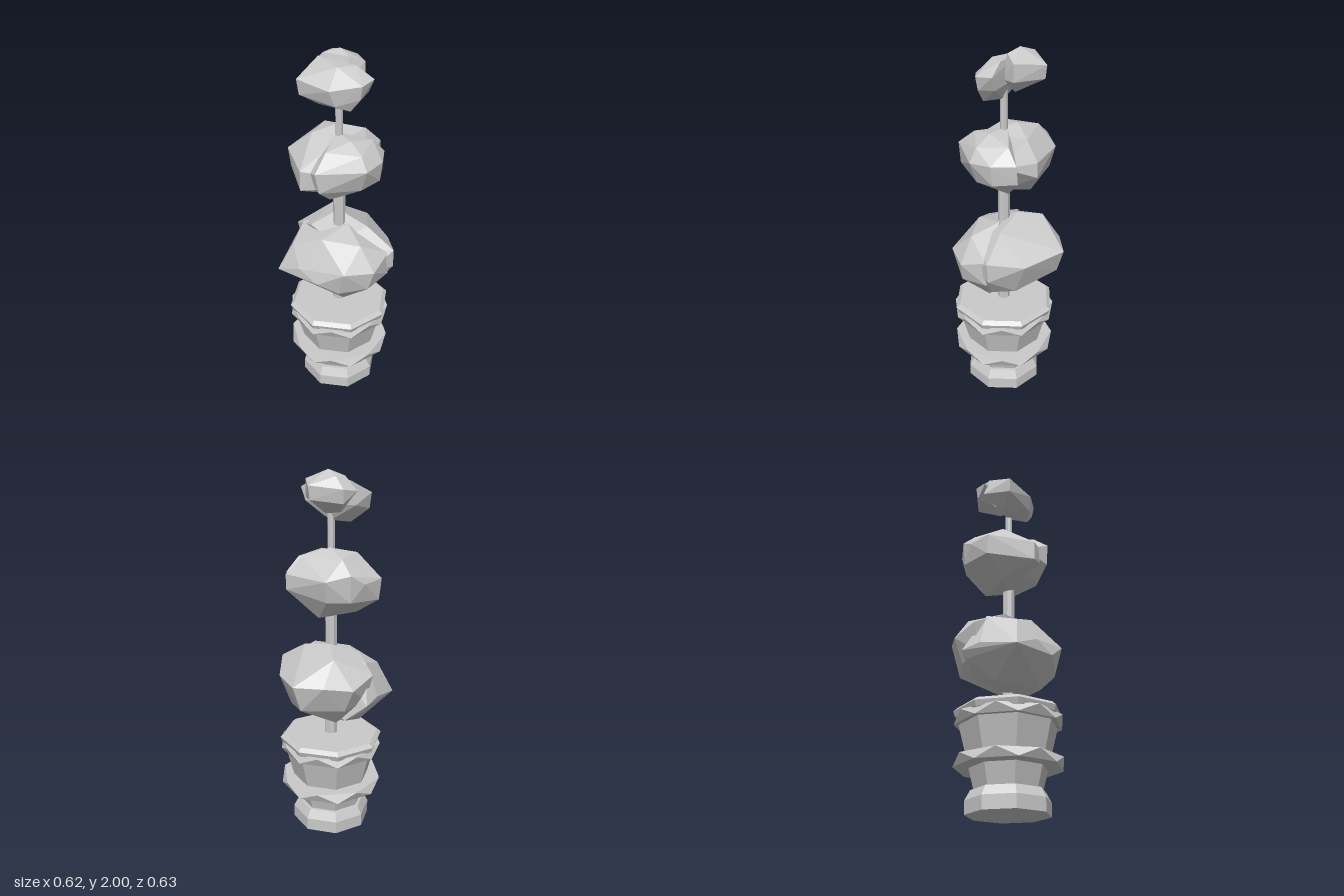
import * as THREE from 'three';
import { ConvexGeometry } from 'three/addons/geometries/ConvexGeometry.js';

export function createModel() {
  const group = new THREE.Group();
  group.name = 'topiaryTree';
  const grey = new THREE.MeshStandardMaterial({ color: 0xcacaca, flatShading: true });
  grey.name = 'plainGrey';

  const add = (name, geometry) => {
    const mesh = new THREE.Mesh(geometry, grey);
    mesh.name = name;
    group.add(mesh);
  };
  const hull = (points) => new ConvexGeometry(points.map((p) => new THREE.Vector3(...p)));

  // Eight-sided frustum with a flat side to the front; sizes are to the flats
  const octagon = (name, y0, y1, a0, a1) => {
    const k = 1 / Math.cos(Math.PI / 8);
    const g = new THREE.CylinderGeometry(a1 * k, a0 * k, y1 - y0, 8);
    g.rotateY(Math.PI / 8);
    g.translate(0, (y0 + y1) / 2, 0);
    add(name, g);
  };
  // Jagged collar: two octagons turned against each other
  const collar = (name, y0, y1, r) => {
    const points = [];
    for (let i = 0; i < 16; i++) {
      const a = (i * Math.PI) / 8;
      points.push([r * Math.cos(a), i % 2 ? y0 : y1, r * Math.sin(a)]);
    }
    add(name, hull(points));
  };

  // Pot
  octagon('potFoot', 0, 0.07, 0.203, 0.203);
  octagon('potFootBevel', 0.07, 0.12, 0.203, 0.178);
  octagon('potWall', 0.11, 0.47, 0.16, 0.245);
  collar('potMiddleCollar', 0.23, 0.28, 0.285);
  collar('potUpperCollar', 0.45, 0.5, 0.285);
  octagon('potRim', 0.49, 0.52, 0.258, 0.268);
  octagon('potRimTop', 0.52, 0.54, 0.268, 0.248);

  // Trunk sections
  for (const [name, y0, y1, r] of [
    ['lowerTrunk', 0.5, 0.75, 0.034],
    ['middleTrunk', 0.95, 1.35, 0.033],
    ['upperTrunk', 1.5, 1.82, 0.02],
  ]) {
    const g = new THREE.CylinderGeometry(r, r, y1 - y0, 8);
    g.translate(0, (y0 + y1) / 2, 0);
    add(name, g);
  }

  // Large lower foliage ball: two interlocking faceted lobes
  add('lowerFoliageBack', hull([
    [-0.15, 0.92, -0.315], [-0.31, 0.9, -0.045], [-0.25, 0.92, -0.19], [-0.2, 1.05, -0.1],
    [-0.06, 1.09, -0.04], [0.12, 1.05, -0.1], [0.275, 0.95, -0.165], [0.1, 0.9, -0.27],
    [0.27, 0.84, -0.17], [-0.15, 0.78, -0.27], [0.1, 0.72, -0.2], [-0.25, 0.77, -0.06],
    [0, 0.63, -0.05], [0.2, 0.72, -0.12], [-0.16, 0.67, -0.06], [-0.27, 0.95, 0.1],
    [-0.1, 1.03, 0.12], [0.1, 1, 0.1], [0.25, 0.85, 0], [-0.24, 0.8, 0.08],
  ]));
  add('lowerFoliageFront', hull([
    [0.315, 0.89, 0], [0.29, 0.78, 0.02], [0.22, 1.02, 0.02], [0.25, 0.9, 0.15],
    [0.12, 0.8, 0.235], [0.2, 0.75, 0.15], [-0.15, 0.78, 0.315], [-0.31, 0.8, 0.04],
    [-0.26, 0.82, 0.14], [-0.1, 0.95, 0.24], [-0.2, 1, 0.1], [0.05, 1.02, 0.15],
    [0.02, 0.62, 0], [-0.14, 0.65, 0.1], [0.15, 0.66, 0.08], [-0.28, 0.76, 0.04],
    [0, 0.85, 0.27], [0.18, 0.68, -0.08], [0.05, 1.06, -0.02], [0.26, 0.94, -0.14],
    [0.26, 0.8, -0.14], [-0.2, 0.69, -0.03],
  ]));

  // Middle foliage ball
  add('middleFoliageRight', hull([
    [-0.275, 1.5, -0.045], [-0.275, 1.45, 0.04], [-0.235, 1.46, 0.165], [-0.235, 1.35, 0.15],
    [0.01, 1.45, 0.25], [0.01, 1.34, 0.25], [-0.265, 1.36, -0.04], [-0.22, 1.47, -0.16],
    [0.015, 1.48, -0.26], [0.015, 1.4, -0.26], [-0.2, 1.36, -0.14], [-0.06, 1.61, -0.04],
    [-0.2, 1.57, -0.05], [-0.1, 1.58, 0.1], [0, 1.57, -0.17], [-0.1, 1.26, 0.1],
    [0, 1.23, 0], [-0.08, 1.25, -0.12], [0.07, 1.45, 0.21], [0.08, 1.36, 0.2],
    [0.1, 1.42, -0.1], [0.05, 1.55, 0.1],
  ]));
  add('middleFoliageLeft', hull([
    [0.235, 1.46, 0], [0.115, 1.47, 0.23], [0.12, 1.36, 0.21], [0.205, 1.47, -0.12],
    [0.11, 1.47, -0.21], [0.19, 1.34, 0], [0.19, 1.36, -0.12], [0.1, 1.58, 0],
    [0.19, 1.53, 0], [0.08, 1.55, 0.14], [0.1, 1.55, -0.14], [0.03, 1.24, 0],
    [0.1, 1.29, 0.13], [0.08, 1.28, -0.12], [0.1, 1.37, -0.21], [-0.03, 1.585, 0],
    [-0.03, 1.42, 0.2], [-0.05, 1.28, 0.06],
  ]));

  // Small top foliage ball
  add('topFoliageBack', hull([
    [-0.105, 1.93, -0.19], [-0.105, 1.86, -0.18], [-0.2, 1.91, -0.045], [-0.19, 1.84, -0.04],
    [-0.06, 2, -0.05], [0.05, 1.95, -0.12], [0.02, 1.98, -0.045], [-0.13, 1.97, 0.005],
    [0.05, 1.86, -0.12], [-0.03, 1.78, -0.05], [0.03, 1.85, 0], [-0.15, 1.97, -0.06],
    [-0.19, 1.9, 0.04], [-0.1, 1.79, 0],
  ]));
  add('topFoliageFront', hull([
    [0.185, 1.89, 0], [0.17, 1.82, 0], [-0.105, 1.88, 0.18], [-0.1, 1.8, 0.17],
    [-0.15, 1.95, 0.02], [0.04, 1.95, 0.04], [-0.19, 1.83, 0.03], [0.12, 1.75, 0.02],
    [0, 1.74, 0], [-0.08, 1.735, 0.07], [0.08, 1.86, 0.12], [0.09, 1.78, 0.09],
    [0.16, 1.9, -0.09], [0.13, 1.83, -0.08], [0.07, 1.95, -0.05],
  ]));

  return group;
}
